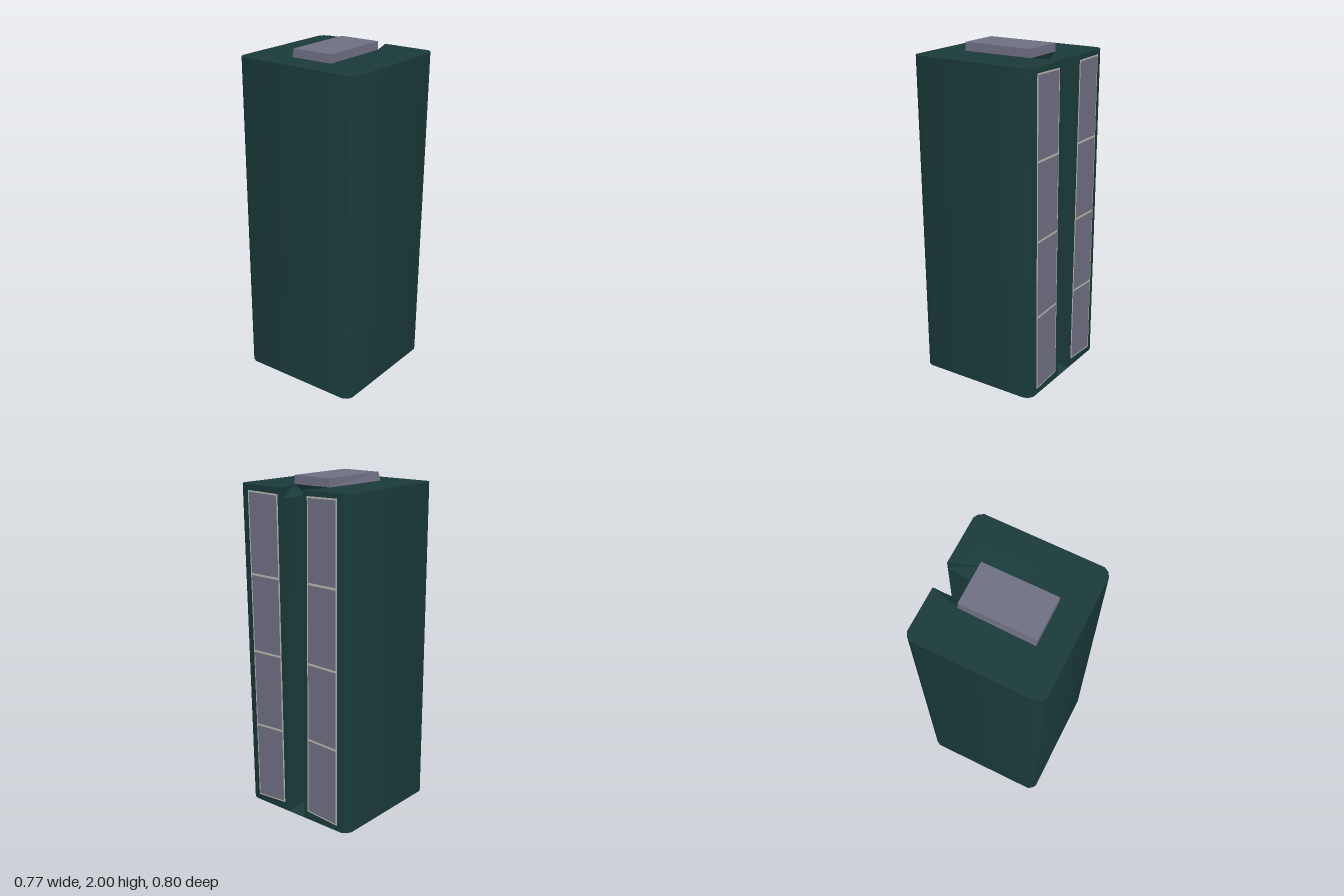
import * as THREE from 'three';
import { toCreasedNormals } from 'three/addons/utils/BufferGeometryUtils.js';

const W = 0.386, H = 1.95, FACE = W + 0.0015;
const material = (color, side = THREE.FrontSide) => new THREE.MeshStandardMaterial({ color, side });
const lerp = THREE.MathUtils.lerp;

function meshFrom(name, triangles, mat, crease = 0.7) {
  const g = new THREE.BufferGeometry().setFromPoints(triangles.flat());
  const m = new THREE.Mesh(toCreasedNormals(g, crease), mat);
  m.name = name;
  return m;
}

// Rounded outline at height y with a channel cut into the +x side.
// The front leans outwards towards the top.
function outline({ y, lipF, lipB, depthX, floorF, floorB }) {
  const f = lerp(0.37, 0.4, y / H), b = -0.4;
  return [
    [W, f - 0.042], [W, lipF], [depthX, floorF], [depthX, floorB], [W, lipB],
    [W, b + 0.042], [W - 0.016, b + 0.015], [W - 0.043, b],
    [-W + 0.043, b], [-W + 0.016, b + 0.015], [-W, b + 0.042],
    [-W, f - 0.042], [-W + 0.016, f - 0.015], [-W + 0.043, f],
    [W - 0.043, f], [W - 0.016, f - 0.015],
  ].map(([x, z]) => new THREE.Vector3(x, y, z));
}

function createBody(mat) {
  const rings = [
    { y: 0, lipF: 0.055, lipB: -0.072, depthX: W, floorF: 0.05, floorB: -0.07 },
    { y: 0.02, lipF: 0.055, lipB: -0.072, depthX: 0.2, floorF: 0.05, floorB: -0.07 },
    { y: 1.89, lipF: 0.064, lipB: -0.087, depthX: 0.2, floorF: 0.05, floorB: -0.07 },
    { y: H, lipF: 0.065, lipB: -0.09, depthX: 0.22, floorF: 0.125, floorB: -0.132 },
  ].map(outline);
  const n = rings[0].length, tris = [];
  for (let j = 0; j < rings.length - 1; j++) {
    const lo = rings[j], up = rings[j + 1];
    for (let i = 0; i < n; i++) {
      const k = (i + 1) % n;
      tris.push([lo[i], lo[k], up[k]], [lo[i], up[k], up[i]]);
    }
  }
  // Top with the flared channel mouth, and a plain base
  const top = rings[rings.length - 1];
  const flat = top.map((p) => new THREE.Vector2(p.x, -p.z));
  for (const [a, b, c] of THREE.ShapeUtils.triangulateShape(flat, [])) tris.push([top[a], top[b], top[c]]);
  const base = rings[0].filter((p, i) => i < 1 || i > 4);
  for (let i = 1; i < base.length - 1; i++) tris.push([base[0], base[i + 1], base[i]]);
  // Drop the collapsed faces at the foot of the channel
  const solid = tris.filter(([a, b, c]) => new THREE.Triangle(a, b, c).getArea() > 1e-7);
  return meshFrom('body', solid, mat);
}

// Two triangles facing +x from four [z, y] corners:
// front bottom, back bottom, back top, front top
function facePanel(name, x, corners, mat) {
  const [a, b, c, d] = corners.map(([z, y]) => new THREE.Vector3(x, y, z));
  return meshFrom(name, [[a, b, c], [a, c, d]], mat);
}

// Light frame with four tall panes, narrowing slightly to the bottom
function createWindowStrip(name, corners, frameMat, paneMat) {
  const group = new THREE.Group();
  group.name = name;
  group.add(facePanel('windowFrame', FACE, corners, frameMat));
  const at = (u, v) => [0, 1].map((k) => lerp(
    lerp(corners[0][k], corners[1][k], u), lerp(corners[3][k], corners[2][k], u), v));
  const edge = 0.005, bar = 0.0055, margin = 0.04;
  for (let i = 0; i < 4; i++) {
    const v0 = i === 0 ? edge : lerp(0, 1, i * 0.2475) + bar;
    const v1 = i === 3 ? 1 - edge : (i + 1) * 0.2475 + 0.004 - bar;
    group.add(facePanel('windowPane', FACE + 0.0015,
      [at(margin, v0), at(1 - margin, v0), at(1 - margin, v1), at(margin, v1)], paneMat));
  }
  return group;
}

// Low rooftop block whose back leans inwards
function createRoofBlock(mat) {
  const g = new THREE.BoxGeometry(0.44, 0.05, 0.257).toNonIndexed();
  g.translate(0, H + 0.025, -0.0035);
  const p = g.attributes.position;
  for (let i = 0; i < p.count; i++) {
    if (p.getZ(i) < 0 && p.getY(i) < H + 0.01) p.setZ(i, p.getX(i) < 0 ? -0.144 : -0.135);
  }
  g.computeVertexNormals();
  const m = new THREE.Mesh(g, mat);
  m.name = 'roofBlock';
  return m;
}

export function createModel() {
  const model = new THREE.Group();
  model.name = 'tower';
  const bodyMat = material(0x1a3a3a, THREE.DoubleSide);
  const glassMat = material(0x6f6f84);
  const frameMat = material(0xb8b8b0);
  model.add(createBody(bodyMat), createRoofBlock(glassMat));
  model.add(createWindowStrip('frontWindowStrip',
    [[0.3, 0.035], [0.082, 0.05], [0.097, 1.912], [0.328, 1.917]], frameMat, glassMat));
  model.add(createWindowStrip('backWindowStrip',
    [[-0.1, 0.05], [-0.328, 0.035], [-0.328, 1.924], [-0.118, 1.92]], frameMat, glassMat));
  return model;
}
